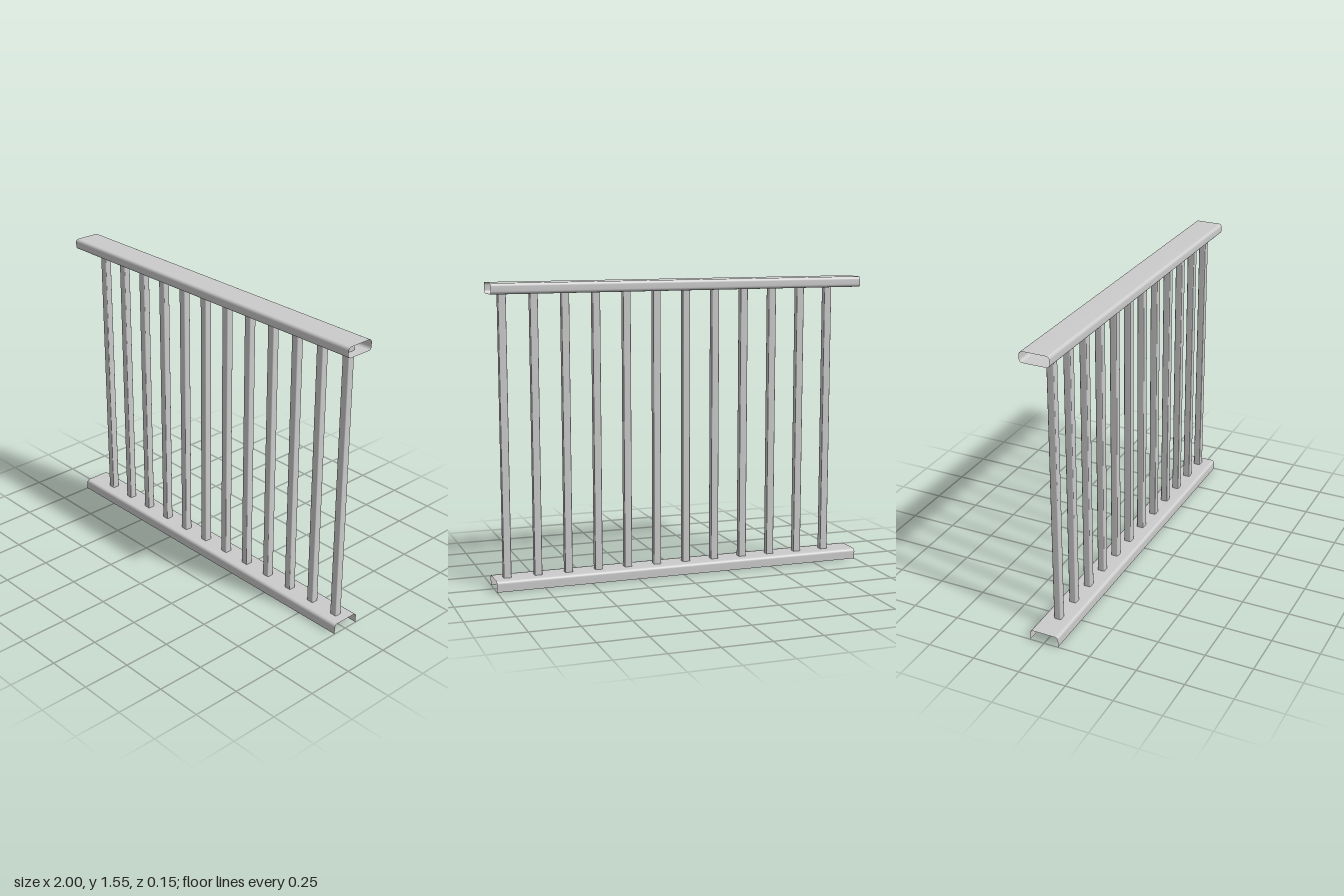
import * as THREE from 'three';

const material = new THREE.MeshStandardMaterial({ color: 0xcccccc, side: THREE.DoubleSide });

// Sweeps a cross-section along +z from 0 to length, leaving both ends open.
function sweep(points, length, closed) {
  const pos = [], index = [], n = points.length;
  for (const p of points) pos.push(p.x, p.y, 0, p.x, p.y, length);
  for (let i = 0; i < (closed ? n : n - 1); i++) {
    const a = 2 * i, b = 2 * ((i + 1) % n);
    index.push(a, b, b + 1, a, b + 1, a + 1);
  }
  const g = new THREE.BufferGeometry();
  g.setAttribute('position', new THREE.Float32BufferAttribute(pos, 3));
  g.setIndex(index);
  g.computeVertexNormals();
  return g;
}

// Counter-clockwise rounded rectangle centred on the origin.
function roundedRect(w, h, r, steps) {
  const pts = [];
  [[1, -1], [1, 1], [-1, 1], [-1, -1]].forEach(([sx, sy], c) => {
    for (let i = 0; i <= steps; i++) {
      const a = (c - 1 + i / steps) * Math.PI / 2;
      pts.push(new THREE.Vector2(
        sx * (w / 2 - r) + r * Math.cos(a),
        sy * (h / 2 - r) + r * Math.sin(a)));
    }
  });
  return pts;
}

export function createModel() {
  const group = new THREE.Group();
  const add = (geometry, name, x, y, z) => {
    const mesh = new THREE.Mesh(geometry, material);
    mesh.name = name;
    mesh.position.set(x, y, z);
    group.add(mesh);
  };

  const railHeight = 0.055, railDepth = 0.154, radius = 0.016;
  const corners = roundedRect(railDepth, railHeight, radius, 5);

  // Top rail: a hollow tube with rounded edges
  add(sweep(corners, 2, true).rotateY(Math.PI / 2), 'topRail', -1, 1.5225, 0);

  // Bottom rail: a channel open underneath, using only the upper corners
  const channel = [
    new THREE.Vector2(railDepth / 2, -railHeight / 2),
    ...corners.slice(6, 18),
    new THREE.Vector2(-railDepth / 2, -railHeight / 2),
  ];
  add(sweep(channel, 2, false).rotateY(Math.PI / 2), 'bottomRail', -1, railHeight / 2, 0);

  // Balusters: square tubes that reach into both rails
  const baluster = sweep(roundedRect(0.04, 0.038, 0.005, 3), 1.482, true).rotateX(-Math.PI / 2);
  for (let i = 0; i < 12; i++) add(baluster, 'baluster' + (i + 1), -0.84 + i * 0.161, 0.038, 0);

  return group;
}
